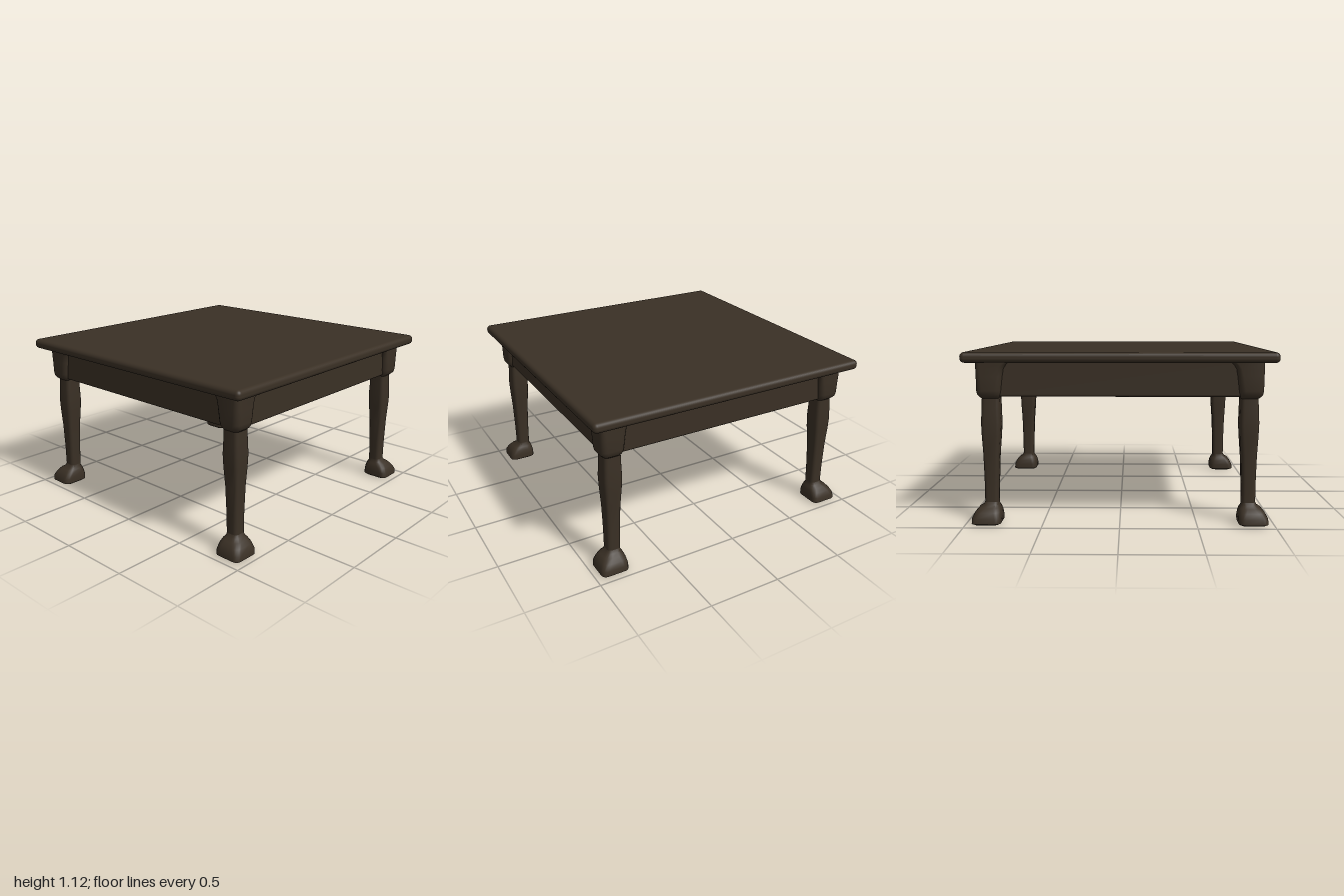
import * as THREE from 'three';
import { toCreasedNormals } from 'three/addons/utils/BufferGeometryUtils.js';
import { RoundedBoxGeometry } from 'three/addons/geometries/RoundedBoxGeometry.js';

const darkWood = new THREE.MeshStandardMaterial({ color: 0x3a3025 });
darkWood.name = 'darkWood';

// Lofts rounded squares; each row is [y, inner edge, outer edge, corner radius] in x and z alike
function loftSquares(rows, crease = 0.7) {
  const steps = 4, n = 4 * (steps + 1), pos = [], idx = [];
  for (const [y, inner, outer, r] of rows) {
    const c = (inner + outer) / 2, h = (outer - inner) / 2 - r;
    for (let q = 0; q < 4; q++) {
      const m = (q + 0.5) * Math.PI / 2;
      for (let s = 0; s <= steps; s++) {
        const a = (q + s / steps) * Math.PI / 2;
        pos.push(c + Math.sign(Math.cos(m)) * h + Math.cos(a) * r, y,
          c + Math.sign(Math.sin(m)) * h + Math.sin(a) * r);
      }
    }
  }
  for (let j = 0; j < rows.length - 1; j++) {
    for (let i = 0; i < n; i++) {
      const a = j * n + i, b = j * n + (i + 1) % n;
      idx.push(a, a + n, b, b, a + n, b + n);
    }
  }
  // Flat end caps
  const top = (rows.length - 1) * n;
  for (let i = 1; i < n - 1; i++) {
    idx.push(0, i, i + 1, top, top + i + 1, top + i);
  }
  const g = new THREE.BufferGeometry();
  g.setAttribute('position', new THREE.Float32BufferAttribute(pos, 3));
  g.setIndex(idx);
  return toCreasedNormals(g, crease);
}

// Clubbed foot spreading outwards along the diagonal
const footRows = [
  [0, 0.785, 0.945, 0.035], [0.01, 0.77, 0.96, 0.035], [0.045, 0.768, 0.958, 0.04],
  [0.08, 0.772, 0.94, 0.045], [0.105, 0.78, 0.918, 0.045], [0.12, 0.79, 0.893, 0.035],
  [0.14, 0.793, 0.882, 0.025],
];

// Tapered shaft with a slight swell near the top
const shaftRows = [
  [0.12, 0.793, 0.882, 0.025], [0.28, 0.789, 0.882, 0.025], [0.45, 0.782, 0.885, 0.025],
  [0.58, 0.772, 0.891, 0.025], [0.66, 0.768, 0.893, 0.025], [0.76, 0.77, 0.888, 0.025],
  [0.85, 0.77, 0.884, 0.025],
];

// Corner block with a shoulder below and a flare under the top
const blockRows = [
  [0.815, 0.772, 0.882, 0.025], [0.83, 0.765, 0.9, 0.035], [0.845, 0.76, 0.912, 0.04],
  [0.87, 0.756, 0.916, 0.04], [0.96, 0.746, 0.916, 0.035], [1.01, 0.738, 0.916, 0.03],
  [1.035, 0.722, 0.916, 0.03], [1.06, 0.695, 0.916, 0.03],
];

export function createModel() {
  const table = new THREE.Group();
  table.name = 'table';
  const add = (parent, name, geometry) => {
    const mesh = new THREE.Mesh(geometry, darkWood);
    mesh.name = name;
    parent.add(mesh);
    return mesh;
  };

  // Slab with softly rounded edges
  add(table, 'tableTop', new RoundedBoxGeometry(1.99, 0.066, 1.99, 4, 0.028)).position.y = 1.085;

  const foot = loftSquares(footRows);
  const shaft = loftSquares(shaftRows);
  const block = loftSquares(blockRows);
  const apron = new RoundedBoxGeometry(1.58, 0.235, 0.14, 3, 0.015);

  // Four identical quarters: a leg and the apron beside it
  const corners = ['frontLeft', 'backLeft', 'backRight', 'frontRight'];
  const sides = ['front', 'left', 'back', 'right'];
  for (let i = 0; i < 4; i++) {
    const leg = new THREE.Group();
    leg.name = corners[i] + 'Leg';
    add(leg, 'foot', foot);
    add(leg, 'shaft', shaft);
    add(leg, 'cornerBlock', block);
    leg.rotation.y = i * Math.PI / 2;
    table.add(leg);

    const side = new THREE.Group();
    side.name = sides[i] + 'Side';
    add(side, 'apron', apron).position.set(0, 0.9475, 0.815);
    side.rotation.y = i * Math.PI / 2;
    table.add(side);
  }
  return table;
}
